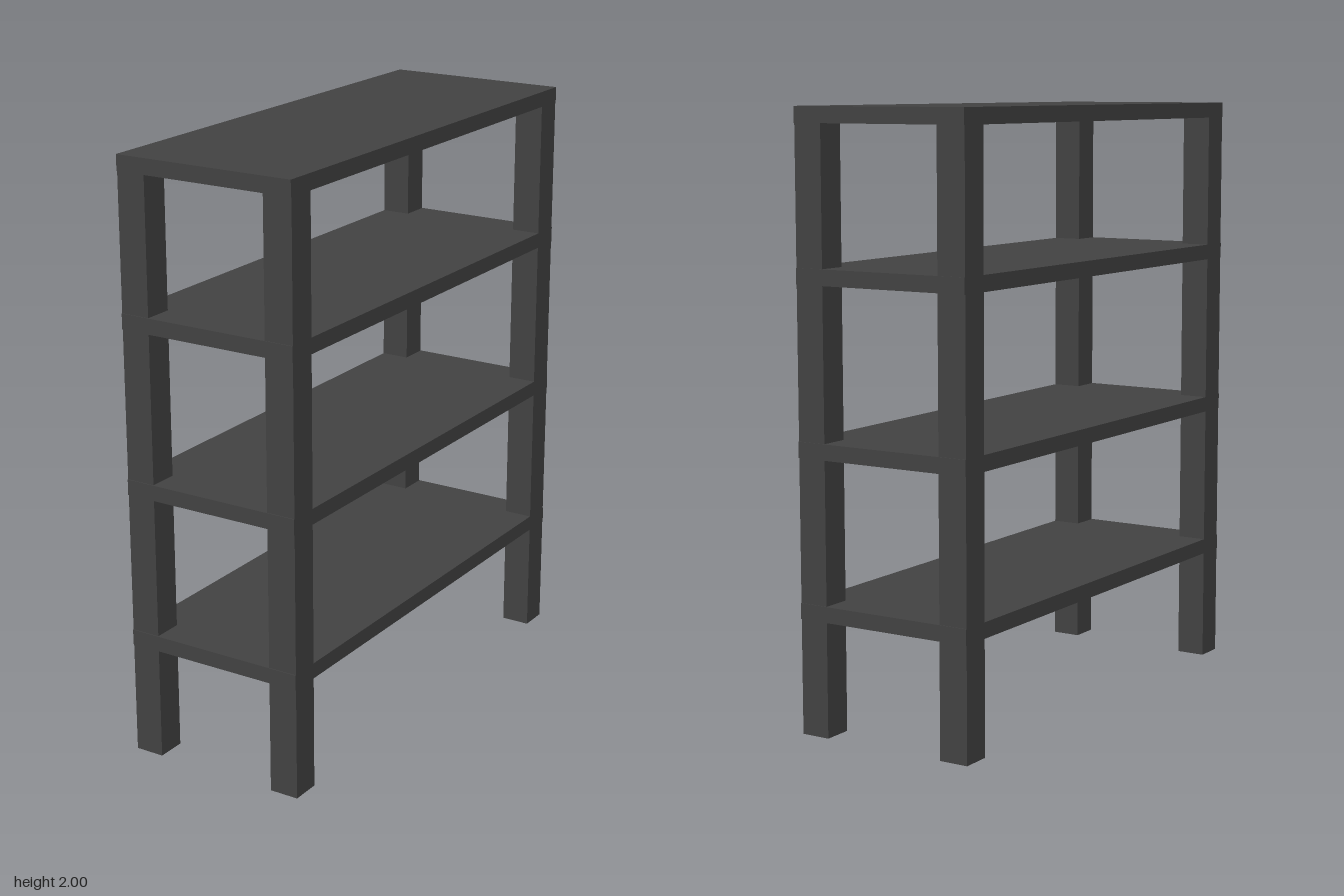
import * as THREE from 'three';

export function createModel() {
  const group = new THREE.Group();
  const charcoal = new THREE.MeshStandardMaterial({ color: 0x424242 });
  charcoal.name = 'charcoal';

  const addBox = (name, size, position) => {
    const mesh = new THREE.Mesh(new THREE.BoxGeometry(...size), charcoal);
    mesh.name = name;
    mesh.position.set(...position);
    group.add(mesh);
  };

  // Four square posts, one at each corner
  const post = 0.1, height = 1.999;
  for (const [side, x] of [['Left', 1], ['Right', -1]]) {
    for (const [end, z] of [['front', 1], ['back', -1]]) {
      addBox(`${end}${side}Post`, [post, height, post], [x * 0.266, height / 2, z * 0.775]);
    }
  }

  // Shelves, overhanging the posts very slightly at the two ends
  const thickness = 0.052;
  const tops = [0.431, 0.952, 1.5, 2];
  tops.forEach((top, i) => {
    const name = i === tops.length - 1 ? 'topBoard' : `shelf${i + 1}`;
    addBox(name, [0.632, thickness, 1.656], [0, top - thickness / 2, 0]);
  });

  return group;
}
